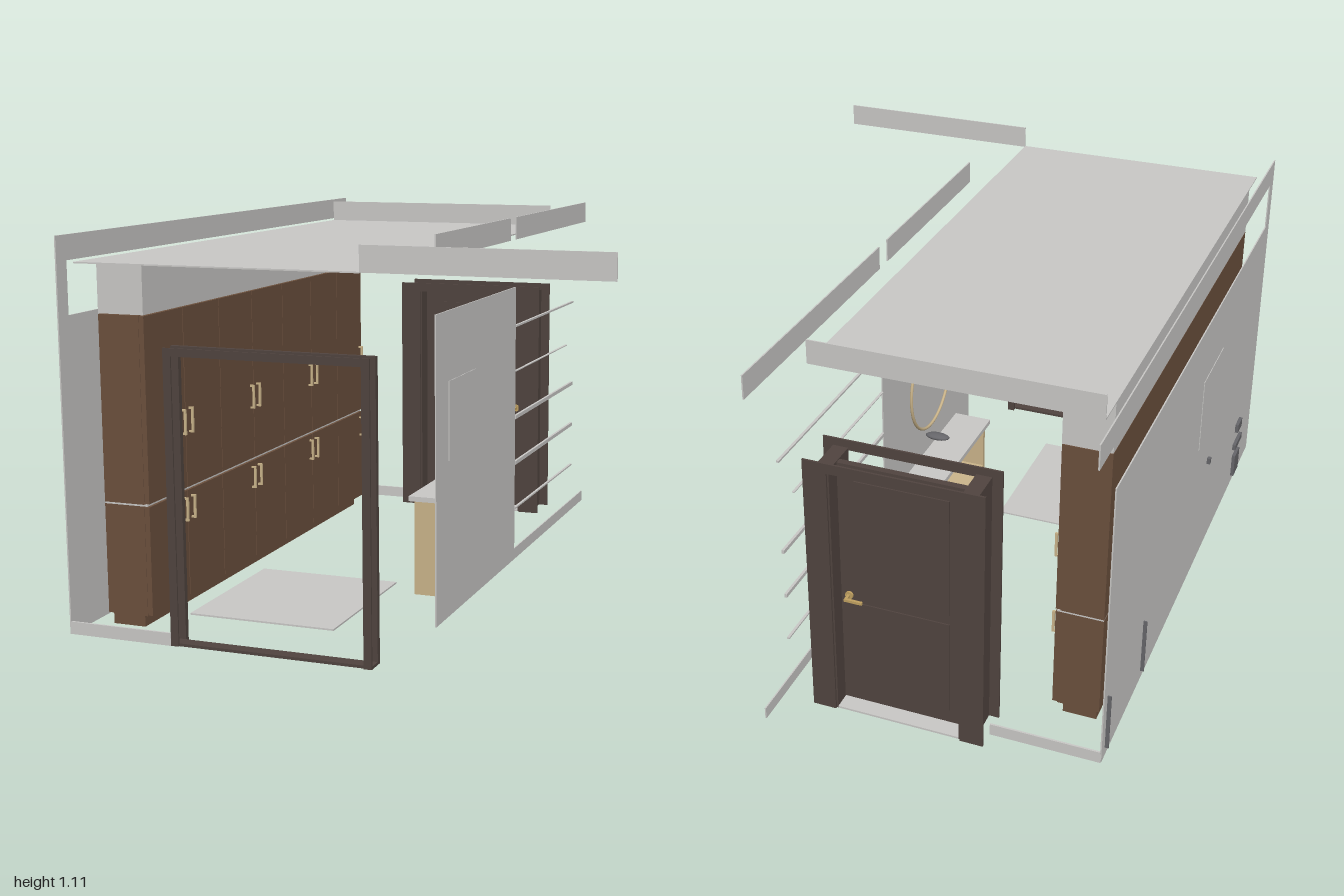
import * as THREE from 'three';

const mat = (name, color) => {
  const m = new THREE.MeshStandardMaterial({ color });
  m.name = name;
  return m;
};

export function createModel() {
  const root = new THREE.Group();
  root.name = 'hallway';
  const plaster = mat('plaster grey', 0xc9c8c6);
  const wood = mat('cabinet brown', 0x6b503d);
  const dark = mat('door brown', 0x50443f);
  const tan = mat('pale wood', 0xcab48a);
  const gold = mat('brass', 0xc0a060);
  const steel = mat('steel grey', 0x66666a);

  // box given by its min and max on each axis
  const box = (name, m, x0, x1, y0, y1, z0, z1, parent = root) => {
    const mesh = new THREE.Mesh(new THREE.BoxGeometry(x1 - x0, y1 - y0, z1 - z0), m);
    mesh.position.set((x0 + x1) / 2, (y0 + y1) / 2, (z0 + z1) / 2);
    mesh.name = name;
    parent.add(mesh);
    return mesh;
  };
  const group = (name) => {
    const g = new THREE.Group();
    g.name = name;
    root.add(g);
    return g;
  };
  const LX = -0.764, RX = 0.178, T = 0.002;

  // walls
  box('leftWall', plaster, LX - T, LX + T, 0, 0.89, -0.83, 1);
  box('leftWallStrip', plaster, LX - T, LX + T, 0.89, 1.04, 0.95, 1);
  box('leftWallPanel', plaster, LX - T - 0.002, LX - T, 0.46, 0.7, 0.14, 0.39);
  box('rightWall', plaster, RX - T, RX + T, 0, 0.89, -0.14, 0.61);
  box('rightWallPanel', plaster, RX + T, RX + T + 0.002, 0.46, 0.69, 0.27, 0.505);

  // ceiling and its upstand strips
  box('ceiling', plaster, -0.71, 0.115, 1.038, 1.042, -0.76, 1);
  box('leftRim', plaster, LX - T, LX + T, 1.04, 1.11, -1, 1);
  box('backRim', plaster, -0.71, 0.115, 1.04, 1.11, -0.762, -0.758);
  box('frontRim', plaster, 0.115, 0.777, 1.04, 1.11, 0.996, 1);
  box('rightRimBack', plaster, RX - T, RX + T, 1.04, 1.11, -1, -0.14);
  box('rightRimFront', plaster, RX - T, RX + T, 1.04, 1.11, -0.08, 0.61);
  for (const z of [0.7, 0.13, -0.47]) {
    const lamp = new THREE.Mesh(new THREE.CylinderGeometry(0.02, 0.02, 0.006, 20), steel);
    lamp.position.set(-0.3, 1.035, z);
    lamp.name = 'spotlight';
    root.add(lamp);
  }

  // skirtings
  box('frontSkirting', plaster, LX, -0.45, 0, 0.036, 0.994, 1);
  box('backSkirting', plaster, LX, -0.44, 0, 0.036, -0.832, -0.826);
  box('rightSkirting', plaster, RX - T, RX + T, 0, 0.036, -1, -0.14);

  // rails along the open part of the right side
  for (const [y, h, z] of [[0.765, 0.006, -0.84], [0.62, 0.003, -0.76], [0.47, 0.012, -0.84],
    [0.32, 0.012, -0.84], [0.17, 0.005, -0.84]]) {
    box('rail', plaster, RX - 0.004, RX + 0.004, y - h / 2, y + h / 2, z, -0.14);
  }

  // cabinet wall: carcass, seven columns of doors, handles, filler above
  const cab = group('cabinets');
  const z0 = -0.67, z1 = 0.885, n = 7, w = (z1 - z0) / n;
  box('lowerCarcass', wood, -0.71, -0.585, 0.035, 0.353, z0, z1, cab);
  box('upperCarcass', wood, -0.71, -0.585, 0.358, 0.888, z0, z1, cab);
  box('divider', plaster, -0.709, -0.575, 0.353, 0.358, z0, z1, cab);
  box('plinth', wood, -0.70, -0.60, 0.0, 0.035, z0 + 0.01, z1 - 0.01, cab);
  box('filler', plaster, -0.71, -0.57, 0.89, 1.038, z0, z1, cab);
  for (let i = 0; i < n; i++) {
    const b = z1 - i * w, a = b - w;
    const hz = i === n - 1 || i % 2 === 0 ? a + 0.022 : b - 0.022;
    for (const [y0, y1, h0, h1] of [[0.037, 0.351, 0.265, 0.335], [0.36, 0.887, 0.52, 0.595]]) {
      box('cabinetDoor', wood, -0.585, -0.57, y0, y1, a + 0.0015, b - 0.0015, cab);
      box('cabinetHandle', tan, -0.562, -0.555, h0, h1, hz - 0.003, hz + 0.003, cab);
      for (const y of [h0, h1 - 0.006]) {
        box('handleFoot', tan, -0.57, -0.562, y, y + 0.006, hz - 0.003, hz + 0.003, cab);
      }
    }
  }

  // flat door surround: two posts and a top bar
  const surround = (name, x0, x1, w, y0, top, bar, za, zb) => {
    const g = group(name);
    box('post', dark, x0, x0 + w, y0, top, za, zb, g);
    box('post', dark, x1 - w, x1, y0, top, za, zb, g);
    box('topBar', dark, x0 + w, x1 - w, top - bar, top, za, zb, g);
  };

  // open front doorway
  surround('frontFrameInner', -0.45, 0.14, 0.023, 0, 0.822, 0.022, 0.941, 0.956);
  surround('frontFrameOuter', -0.45, 0.14, 0.023, 0, 0.822, 0.022, 0.994, 0.999);
  box('frontThreshold', dark, -0.45, 0.14, 0, 0.008, 0.956, 0.994);

  // back door
  surround('backArchitraveInner', -0.44, 0.08, 0.07, 0.0, 0.822, 0.03, -0.756, -0.75);
  surround('backArchitraveOuter', -0.44, 0.08, 0.07, 0.0, 0.822, 0.03, -0.888, -0.882);
  box('leftJamb', dark, -0.41, -0.365, 0.0, 0.8, -0.882, -0.756);
  box('rightJamb', dark, 0.005, 0.05, 0.0, 0.8, -0.882, -0.756);
  box('backThreshold', plaster, -0.365, 0.005, 0.0, 0.006, -0.882, -0.756);
  const door = group('backDoor');
  box('leaf', dark, -0.365, 0.005, 0.008, 0.797, -0.832, -0.812, door);
  for (const [a, b] of [[0.05, 0.35], [0.38, 0.75]]) {
    box('leafPanel', dark, -0.32, -0.045, a, b, -0.836, -0.808, door);
  }
  for (const s of [1, -1]) {
    const zc = -0.822 + s * 0.012;
    const rose = new THREE.Mesh(new THREE.CylinderGeometry(0.012, 0.012, 0.008, 20), gold);
    rose.rotation.x = Math.PI / 2;
    rose.position.set(-0.02, 0.372, zc);
    rose.name = 'handleRose';
    door.add(rose);
    const [a, b] = [zc, zc + s * 0.026].sort((p, q) => p - q);
    box('handleStem', gold, -0.024, -0.016, 0.368, 0.376, a, b, door);
    const e = zc + s * 0.026;
    box('handleLever', gold, -0.07, -0.016, 0.368, 0.376, e - 0.004, e + 0.004, door);
  }

  // floor mat
  box('floorMat', plaster, -0.53, -0.08, 0.002, 0.007, 0.25, 0.74);

  // console with a drawer band against the right wall
  const con = group('console');
  box('endPanel', tan, 0.01, 0.1, 0, 0.29, -0.085, -0.07, con);
  box('endPanel', tan, 0.01, 0.1, 0, 0.29, 0.315, 0.33, con);
  box('drawer', tan, 0.01, 0.1, 0.05, 0.135, -0.07, 0.315, con);
  box('top', plaster, -0.005, 0.12, 0.29, 0.305, -0.095, 0.34, con);
  const bowl = new THREE.Mesh(new THREE.SphereGeometry(0.04, 20, 10), steel);
  bowl.scale.set(1, 0.25, 0.5);
  bowl.position.set(0.05, 0.414, 0.0);
  bowl.name = 'ornament';
  con.add(bowl);

  // round mirror frame
  const ring = new THREE.Mesh(new THREE.TorusGeometry(0.165, 0.005, 8, 64), tan);
  ring.rotation.y = Math.PI / 2;
  ring.position.set(0.112, 0.56, 0.1);
  ring.name = 'mirrorFrame';
  root.add(ring);

  // small fittings on the outside of the left wall
  for (const [y0, y1, a, b] of [[0.03, 0.11, 0.73, 0.8], [0.14, 0.16, 0.72, 0.82], [0.2, 0.23, 0.74, 0.8],
    [0.03, 0.21, -0.8, -0.796], [0.03, 0.21, -0.44, -0.436], [0.33, 0.35, 0.285, 0.3]]) {
    box('wallFitting', steel, -0.777, LX - T, y0, y1, a, b);
  }
  return root;
}
